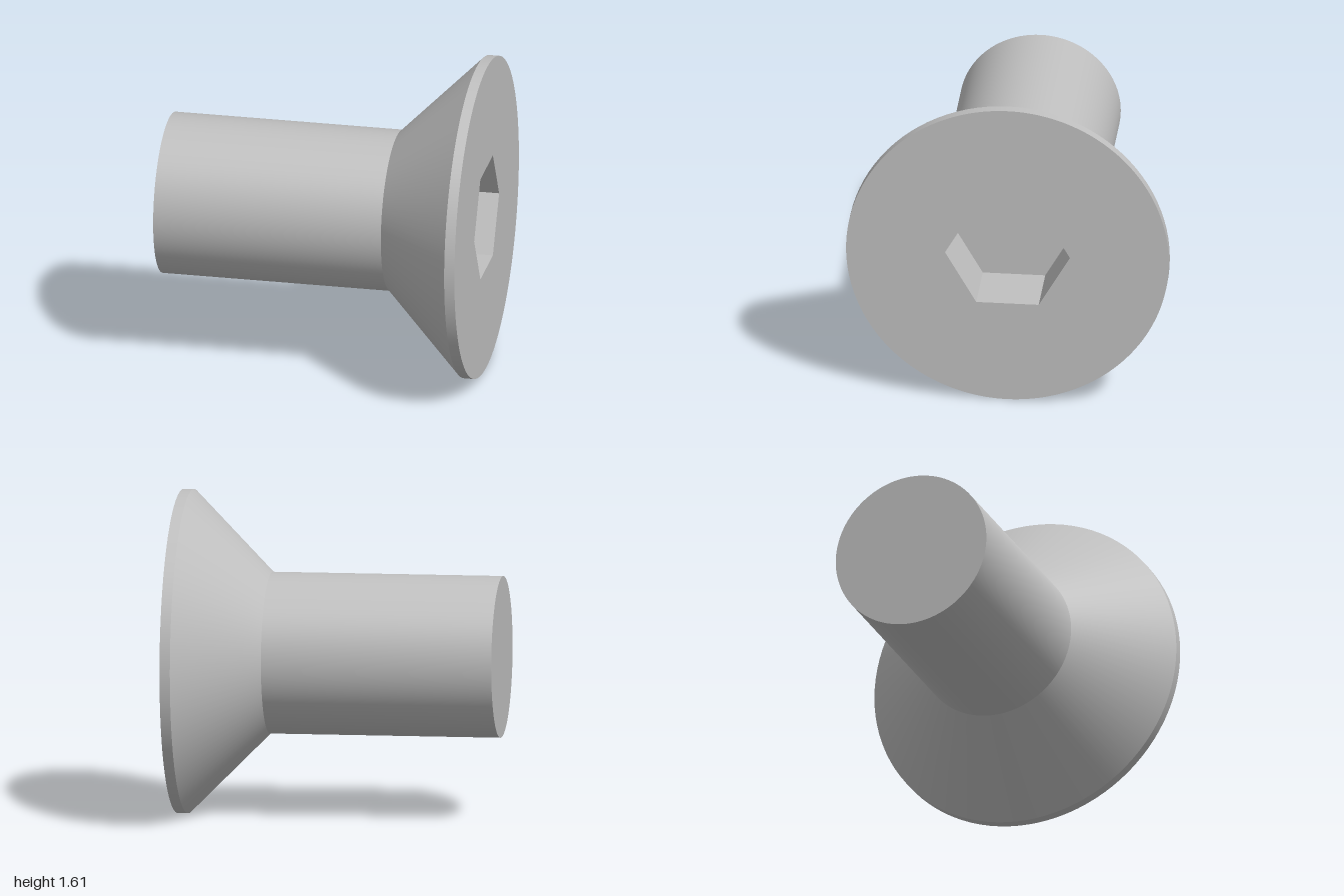
import * as THREE from 'three';

const SHANK_R = 0.402, HEAD_R = 0.806;
const SHANK_LEN = 1.155, CONE_H = 0.403, RIM_H = 0.052;
const HEX_R = 0.312, HEX_DEPTH = 0.32;
const SEGMENTS = 96;

export function createModel() {
  const model = new THREE.Group();
  model.name = 'countersunkScrew';
  const steel = new THREE.MeshStandardMaterial({ color: 0xc0c0c0 });
  steel.name = 'steel grey';

  // Local y runs along the screw, with the origin where shank meets head
  const screw = new THREE.Group();
  screw.name = 'screw';
  screw.rotation.set(0, Math.PI / 6, -Math.PI / 2, 'YXZ');
  screw.position.set(0.2, HEAD_R, 0);
  model.add(screw);

  const add = (name, geometry, y) => {
    const mesh = new THREE.Mesh(geometry, steel);
    mesh.name = name;
    mesh.position.y = y;
    screw.add(mesh);
  };
  const tube = (top, bottom, height) =>
    new THREE.CylinderGeometry(top, bottom, height, SEGMENTS, 1, true);

  const topY = CONE_H + RIM_H;

  // Shank and its flat end
  add('shank', tube(SHANK_R, SHANK_R, SHANK_LEN), -SHANK_LEN / 2);
  add('shankEnd', new THREE.CircleGeometry(SHANK_R, SEGMENTS).rotateX(Math.PI / 2), -SHANK_LEN);

  // Conical head with a thin straight rim
  add('headCone', tube(HEAD_R, SHANK_R, CONE_H), CONE_H / 2);
  add('headRim', tube(HEAD_R, HEAD_R, RIM_H), CONE_H + RIM_H / 2);

  // Head face with a hexagonal opening
  const hexPoints = Array.from({ length: 6 }, (_, i) => {
    const a = Math.PI / 2 + i * Math.PI / 3;
    return new THREE.Vector2(HEX_R * Math.cos(a), HEX_R * Math.sin(a));
  });
  const face = new THREE.Shape().absarc(0, 0, HEAD_R, 0, Math.PI * 2);
  face.holes.push(new THREE.Path(hexPoints).closePath());
  add('headFace', new THREE.ShapeGeometry(face, SEGMENTS).rotateX(-Math.PI / 2), topY);

  // Socket walls, mirrored so they face inwards, and the flat floor
  const walls = new THREE.CylinderGeometry(HEX_R, HEX_R, HEX_DEPTH, 6, 1, true)
    .toNonIndexed().scale(-1, 1, 1);
  walls.computeVertexNormals();
  add('socketWalls', walls, topY - HEX_DEPTH / 2);
  add('socketFloor', new THREE.ShapeGeometry(new THREE.Shape(hexPoints)).rotateX(-Math.PI / 2), topY - HEX_DEPTH);

  return model;
}
